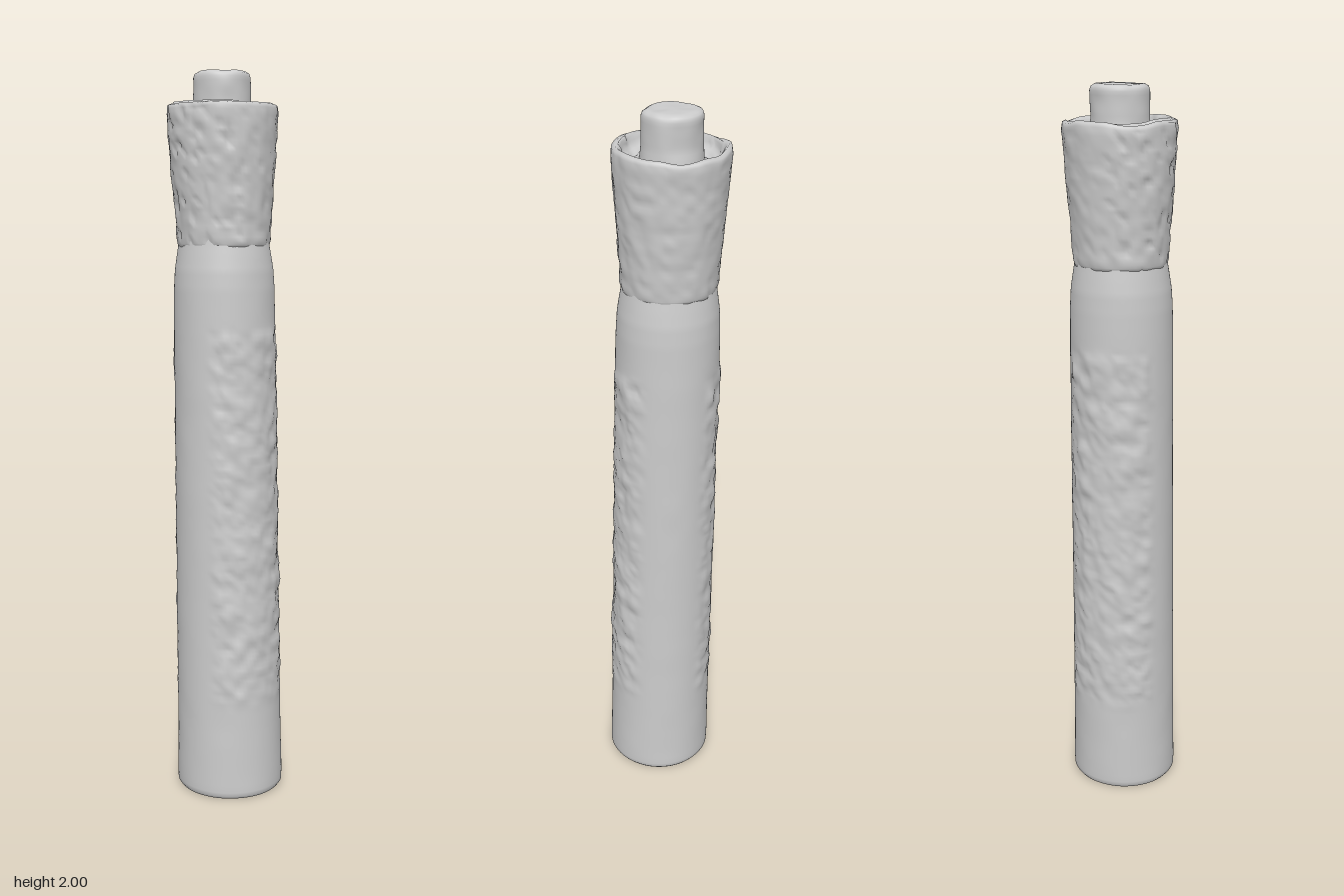
import * as THREE from 'three';
import { mergeVertices } from 'three/addons/utils/BufferGeometryUtils.js';

const material = new THREE.MeshStandardMaterial({ color: 0xcccccc, roughness: 0.8 });
const smooth = THREE.MathUtils.smoothstep;

// Seeded value noise in 3D, -1..1
function hash(x, y, z) {
  const s = Math.sin(x * 127.1 + y * 311.7 + z * 74.7) * 43758.5453;
  return (s - Math.floor(s)) * 2 - 1;
}
function noise(x, y, z) {
  const c = [x, y, z].map(Math.floor);
  const [u, v, w] = [x - c[0], y - c[1], z - c[2]].map(t => t * t * (3 - 2 * t));
  let sum = 0;
  for (let i = 0; i < 8; i++) {
    const a = i & 1, b = (i >> 1) & 1, d = i >> 2;
    sum += hash(c[0] + a, c[1] + b, c[2] + d) * (a ? u : 1 - u) * (b ? v : 1 - v) * (d ? w : 1 - w);
  }
  return sum;
}

// The whole handle leans slightly towards -x
const axisX = y => 0.017 - 0.0195 * y;

// Revolves a finely divided profile, then displaces it by a rule and leans it
function roughLathe(name, profile, displace) {
  const points = [];
  profile.forEach(([r, y], i) => {
    const a = new THREE.Vector2(r, y);
    if (i) {
      const p = new THREE.Vector2(...profile[i - 1]);
      const n = Math.max(1, Math.ceil(p.distanceTo(a) / 0.011));
      for (let k = 1; k < n; k++) points.push(p.clone().lerp(a, k / n));
    }
    points.push(a);
  });
  let geo = new THREE.LatheGeometry(points, 96);
  geo.deleteAttribute('uv');
  geo.deleteAttribute('normal');
  geo = mergeVertices(geo, 1e-5);
  const pos = geo.attributes.position;
  for (let i = 0; i < pos.count; i++) {
    const x = pos.getX(i), y = pos.getY(i), z = pos.getZ(i);
    const r = Math.hypot(x, z);
    const { dr = 0, dy = 0 } = displace(x, y, z, r);
    const k = r > 0.001 ? (r + dr) / r : 1;
    pos.setXYZ(i, x * k + axisX(y), y + dy, z * k);
  }
  geo.computeVertexNormals();
  const mesh = new THREE.Mesh(geo, material);
  mesh.name = name;
  return mesh;
}

export function createModel() {
  const model = new THREE.Group();
  model.name = 'flaredHandle';

  // Tapered barrel with a hollow foot and lumpy grip strips on both sides
  model.add(roughLathe('barrel', [
    [0, 0.05], [0.105, 0.05], [0.118, 0.04], [0.124, 0.006], [0.13, 0.001], [0.143, 0.002],
    [0.149, 0.01], [0.1495, 0.03], [0.147, 0.2], [0.143, 0.8], [0.14, 1.3],
    [0.138, 1.42], [0.135, 1.47], [0.129, 1.51], [0.124, 1.54], [0.12, 1.57],
  ], (x, y, z, r) => {
    if (y < 0.06 && r < 0.12) return { dy: 0.01 * noise(x * 45, 3, z * 45) };
    const band = smooth(y, 0.25, 0.31) * (1 - smooth(y, 1.29, 1.33));
    const side = smooth(Math.abs(x) / r, 0.5, 0.72);
    const lump = 0.004 * noise(x * 32, y * 28, z * 32) + 0.003 * noise(x * 60, y * 60, z * 60);
    return { dr: band * side * (lump + 0.001) + 0.0006 * noise(x * 20, y * 14, z * 20) };
  }));

  // Flared, pitted collar with a sunken top
  model.add(roughLathe('collar', [
    [0.116, 1.53], [0.124, 1.533], [0.128, 1.55], [0.13, 1.6], [0.14, 1.72], [0.147, 1.82],
    [0.151, 1.885], [0.149, 1.902], [0.14, 1.906], [0.131, 1.897], [0.122, 1.87],
    [0.1, 1.858], [0.08, 1.868], [0, 1.87],
  ], (x, y, z, r) => {
    const front = smooth(z / 0.15, -0.2, 0.5);
    const pits = Math.max(0, noise(x * 55, y * 55, z * 55) - 0.2);
    const grain = 0.0025 * noise(x * 40, y * 40, z * 40);
    // Uneven rim; the recess is shallower at the front
    const rim = smooth(y, 1.84, 1.9) * 0.009 * noise(x * 16 + 5, 2, z * 16);
    const fill = r < 0.135 && y > 1.84 ? 0.014 * front : 0;
    return {
      dr: y < 1.9 && r > 0.124 ? grain - pits * (0.003 + 0.008 * front) : grain * 0.5,
      dy: rim + fill + (y > 1.84 && r < 0.13 ? 0.006 * noise(x * 35, 8, z * 35) : 0),
    };
  }));

  // Rounded button rising out of the collar
  model.add(roughLathe('button', [
    [0.088, 1.85], [0.08, 1.875], [0.077, 1.91], [0.077, 1.98], [0.073, 1.992], [0.062, 1.998], [0, 1.999],
  ], (x, y, z) => ({
    dr: 0.0025 * noise(x * 24, y * 24, z * 24),
    dy: y > 1.99 ? -0.002 + 0.002 * noise(x * 30, 1, z * 30) : 0,
  })));

  // Worn radial ribs inside the hollow foot
  const ribs = new THREE.Group();
  ribs.name = 'footRibs';
  for (let i = 0; i < 9; i++) {
    const a = (i / 9) * Math.PI * 2;
    const d = 0.08 + 0.01 * hash(i, 2, 5);
    const rib = new THREE.Mesh(new THREE.CapsuleGeometry(0.012, 0.045 + 0.012 * hash(i, 1, 1), 4, 10), material);
    rib.name = 'footRib';
    rib.rotation.set(0, -a, Math.PI / 2);
    rib.position.set(axisX(0) + d * Math.cos(a), 0.036, d * Math.sin(a));
    ribs.add(rib);
  }
  model.add(ribs);
  return model;
}
